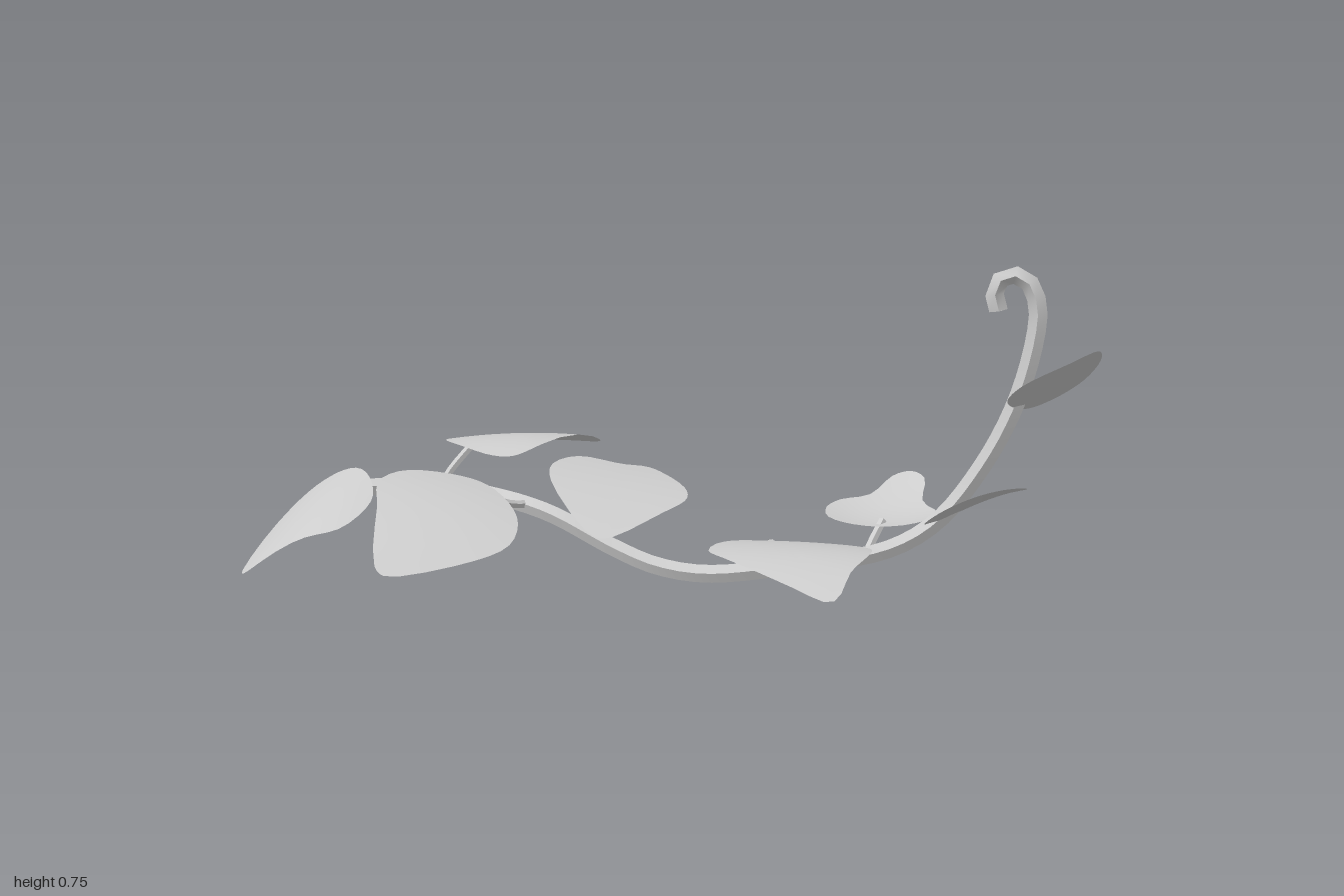
import * as THREE from 'three';
import { toCreasedNormals } from 'three/addons/utils/BufferGeometryUtils.js';

const grey = new THREE.MeshStandardMaterial({ color: 0xcccccc, side: THREE.DoubleSide });
grey.name = 'paleGrey';

// Faceted shoot following a smooth path, closed at both ends
function shoot(name, points, radius, segments) {
  const path = new THREE.CatmullRomCurve3(points.map(p => new THREE.Vector3(...p)));
  const group = new THREE.Group();
  group.name = name;
  const tube = new THREE.TubeGeometry(path, segments, radius, 5);
  const body = new THREE.Mesh(toCreasedNormals(tube, 0.6), grey);
  body.name = name + 'Body';
  group.add(body);
  for (const [t, dir] of [[0, -1], [1, 1]]) {
    const cap = new THREE.Mesh(new THREE.CircleGeometry(radius * 0.95, 5), grey);
    cap.name = name + 'End';
    cap.position.copy(path.getPointAt(t));
    cap.quaternion.setFromUnitVectors(new THREE.Vector3(0, 0, 1), path.getTangentAt(t).multiplyScalar(dir));
    group.add(cap);
  }
  return group;
}

// Leaf blade: an outline in x, z, filled by rings and raised to a tilted, curved surface
function leaf(name, [cx, cy, cz], [slopeX, slopeZ, bendX, bendZ], outline) {
  const edge = new THREE.CatmullRomCurve3(
    outline.map(([x, z]) => new THREE.Vector3(x - cx, 0, z - cz)), true);
  const around = 36, rings = 5, position = [], index = [];
  const put = (x, z) => position.push(
    cx + x, cy + slopeX * x + slopeZ * z + bendX * x * x + bendZ * z * z, cz + z);
  put(0, 0);
  for (let r = 1; r <= rings; r++) {
    for (let i = 0; i < around; i++) {
      const p = edge.getPoint(i / around).multiplyScalar(r / rings);
      put(p.x, p.z);
    }
  }
  const at = (r, i) => r === 0 ? 0 : 1 + (r - 1) * around + i % around;
  for (let r = 0; r < rings; r++) {
    for (let i = 0; i < around; i++) {
      index.push(at(r, i), at(r + 1, i + 1), at(r + 1, i));
      if (r > 0) index.push(at(r, i), at(r, i + 1), at(r + 1, i + 1));
    }
  }
  const geometry = new THREE.BufferGeometry();
  geometry.setAttribute('position', new THREE.Float32BufferAttribute(position, 3));
  geometry.setIndex(index);
  geometry.computeVertexNormals();
  const mesh = new THREE.Mesh(geometry, grey);
  mesh.name = name;
  return mesh;
}

export function createModel() {
  const vine = new THREE.Group();
  vine.name = 'vine';

  // Main stem, rising to a curled tendril
  vine.add(shoot('stem', [
    [-0.77, 0.18, -0.09], [-0.62, 0.185, -0.13], [-0.45, 0.175, -0.10], [-0.28, 0.15, -0.045],
    [-0.1, 0.08, 0.0], [0.0, 0.05, 0.02], [0.12, 0.04, 0.03], [0.32, 0.065, 0.012],
    [0.54, 0.1, -0.05], [0.65, 0.165, -0.085], [0.75, 0.3, -0.098], [0.82, 0.45, -0.1],
    [0.857, 0.6, -0.1], [0.86, 0.68, -0.1], [0.835, 0.735, -0.1], [0.79, 0.748, -0.1],
    [0.762, 0.715, -0.1], [0.772, 0.665, -0.1],
  ], 0.022, 60));

  // Leaf stalks
  vine.add(
    shoot('backLeafStalk', [[-0.58, 0.18, -0.12], [-0.56, 0.22, -0.14], [-0.52, 0.275, -0.19]], 0.01, 5),
    shoot('frontLeafStalk', [[-0.34, 0.165, -0.06], [-0.38, 0.18, 0.0], [-0.43, 0.235, 0.07]], 0.01, 5),
    shoot('lowLeafStalk', [[0.25, 0.055, 0.02], [0.26, 0.085, 0.04], [0.28, 0.14, 0.085]], 0.01, 5),
    shoot('smallLeafStalk', [[0.49, 0.09, -0.04], [0.5, 0.11, -0.08], [0.52, 0.145, -0.14]], 0.01, 5));

  // Leaves, from the low end of the vine to the tendril
  vine.add(
    leaf('endLeaf', [-0.85, 0.165, 0], [0.45, -0.28, -1.6, -0.3], [
      [-0.95, -0.17], [-0.88, -0.18], [-0.81, -0.15], [-0.73, -0.04], [-0.7, 0.06],
      [-0.74, 0.165], [-0.84, 0.175], [-0.97, 0.18], [-1, 0.14], [-0.99, -0.08]]),
    leaf('backLeaf', [-0.42, 0.295, -0.27], [0.06, 0.11, -0.3, -1.2], [
      [-0.24, -0.425], [-0.31, -0.435], [-0.56, -0.395], [-0.61, -0.33], [-0.6, -0.24],
      [-0.54, -0.165], [-0.44, -0.095], [-0.38, -0.09], [-0.33, -0.15], [-0.24, -0.38]]),
    leaf('frontLeaf', [-0.46, 0.215, 0.22], [-0.17, -0.37, -0.2, -0.9], [
      [-0.5, 0.045], [-0.42, 0.055], [-0.34, 0.12], [-0.29, 0.2], [-0.29, 0.28], [-0.36, 0.35],
      [-0.53, 0.425], [-0.56, 0.41], [-0.61, 0.25], [-0.64, 0.15], [-0.6, 0.075]]),
    leaf('middleLeaf', [-0.08, 0.255, 0.08], [-0.15, -0.25, 0, -0.7], [
      [-0.25, 0.03], [-0.2, -0.05], [-0.1, -0.05], [-0.04, -0.065], [0.01, -0.035], [0.07, 0.03],
      [0.08, 0.08], [0.04, 0.15], [-0.06, 0.265], [-0.1, 0.27], [-0.23, 0.12]]),
    leaf('lowLeaf', [0.34, 0.158, 0.22], [0, -0.05, -0.2, -1.1], [
      [0.155, 0.22], [0.18, 0.12], [0.24, 0.06], [0.33, 0.06], [0.46, 0.08], [0.51, 0.125],
      [0.51, 0.2], [0.48, 0.3], [0.45, 0.41], [0.35, 0.37], [0.2, 0.27]]),
    leaf('smallLeaf', [0.52, 0.15, -0.2], [0.08, -0.2, 1, 1.2], [
      [0.39, -0.14], [0.38, -0.2], [0.41, -0.25], [0.48, -0.285], [0.53, -0.35], [0.575, -0.36],
      [0.61, -0.33], [0.61, -0.24], [0.65, -0.15], [0.64, -0.11], [0.57, -0.09], [0.45, -0.11]]),
    leaf('risingLeaf', [0.74, 0.245, 0.02], [0.4, 0.35, -1.5, 0], [
      [0.7, -0.09], [0.75, -0.06], [0.8, 0], [0.85, 0.07], [0.83, 0.09], [0.74, 0.1],
      [0.65, 0.1], [0.625, 0.07], [0.64, 0], [0.66, -0.06]]),
    leaf('topLeaf', [0.9, 0.51, -0.04], [0.5, 0.6, 0, 0], [
      [0.8, -0.02], [0.82, -0.09], [0.86, -0.13], [0.92, -0.13], [0.97, -0.1],
      [1, -0.03], [0.99, 0.03], [0.93, 0.03], [0.83, 0.02]]));

  return vine;
}
